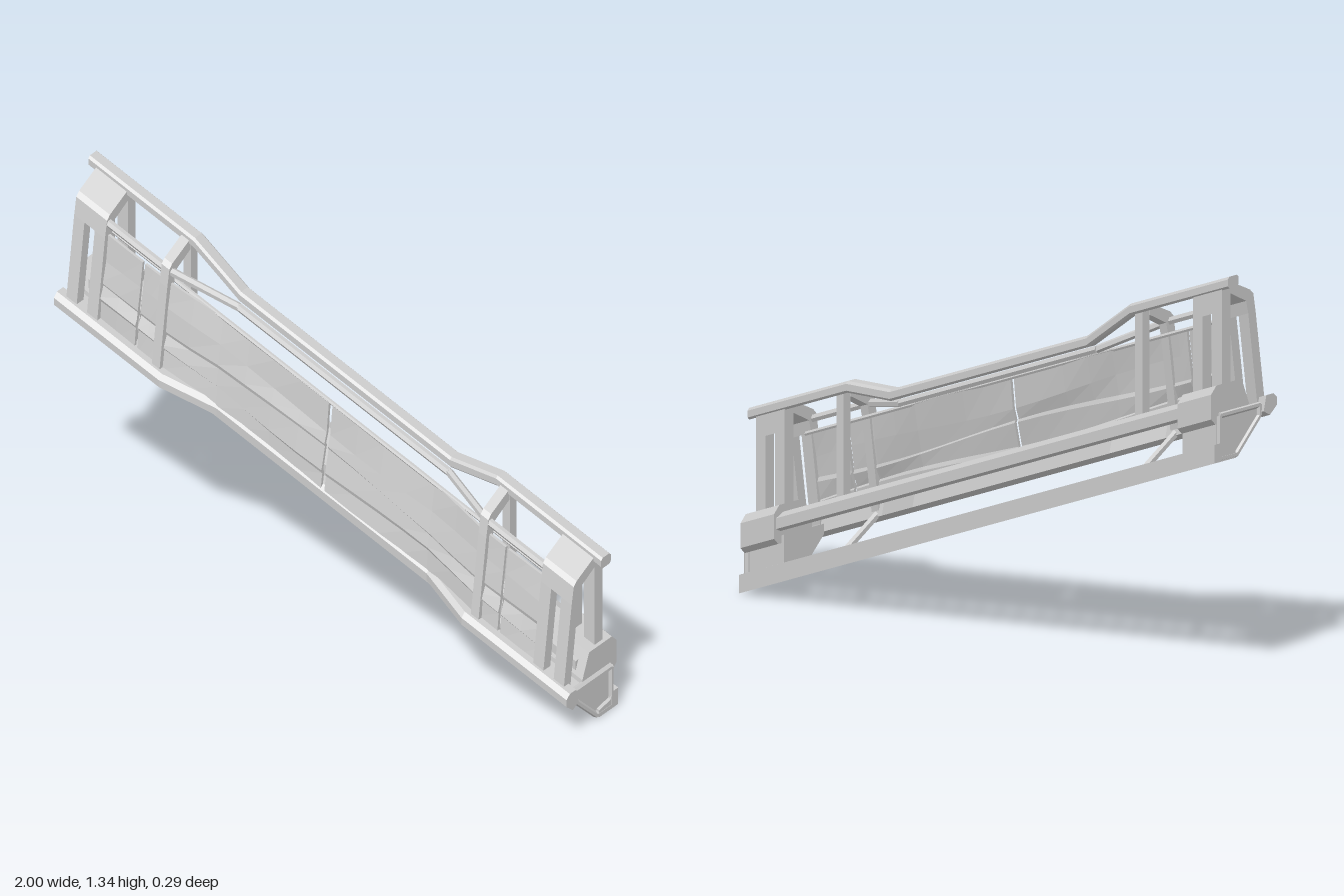
import * as THREE from 'three';

const SLOPE = 0.375; // the railing follows a stair: everything is built level, then sheared

export function createModel() {
  const group = new THREE.Group();
  const material = new THREE.MeshStandardMaterial({ color: 0xcccccc, flatShading: true, side: THREE.DoubleSide });

  const add = (name, geometry) => {
    const p = geometry.attributes.position;
    for (let i = 0; i < p.count; i++) p.setY(i, p.getY(i) - SLOPE * p.getX(i));
    geometry.computeVertexNormals();
    const mesh = new THREE.Mesh(geometry, material);
    mesh.name = name;
    group.add(mesh);
  };

  // Sweep a (z, y) profile along the x stations; warp(x, z, y) bends each section
  const sweep = (name, profile, xs, warp = (x, z, y) => [z, y]) => {
    const ring = profile.map(([z, y]) => new THREE.Vector2(z, y));
    if (THREE.ShapeUtils.isClockWise(ring)) ring.reverse();
    const rings = xs.map(x => ring.map(p => {
      const [z, y] = warp(x, p.x, p.y);
      return [x, y, z];
    }));
    const out = [];
    const tri = (a, b, c) => out.push(...a, ...b, ...c);
    for (let s = 0; s < rings.length - 1; s++) {
      for (let i = 0; i < ring.length; i++) {
        const j = (i + 1) % ring.length, A = rings[s], B = rings[s + 1];
        tri(A[i], B[i], B[j]);
        tri(A[i], B[j], A[j]);
      }
    }
    const first = rings[0], last = rings[rings.length - 1];
    for (const [a, b, c] of THREE.ShapeUtils.triangulateShape(ring, [])) {
      tri(first[a], first[b], first[c]);
      tri(last[a], last[c], last[b]);
    }
    const g = new THREE.BufferGeometry();
    g.setAttribute('position', new THREE.Float32BufferAttribute(out, 3));
    add(name, g);
  };

  const box = (name, x0, x1, y0, y1, z0, z1) =>
    sweep(name, [[z0, y0], [z1, y0], [z1, y1], [z0, y1]], [x0, x1]);

  // Six-sided rod between two points
  const rod = (name, a, b, r) => {
    const A = new THREE.Vector3(...a), B = new THREE.Vector3(...b);
    const d = B.clone().sub(A);
    const g = new THREE.CylinderGeometry(r, r, d.length(), 6).toNonIndexed();
    g.applyQuaternion(new THREE.Quaternion().setFromUnitVectors(new THREE.Vector3(0, 1, 0), d.normalize()));
    g.translate(...A.add(B).multiplyScalar(0.5).toArray());
    add(name, g);
  };

  // 0 in the middle of the railing, 1 towards both ends
  const endBlend = x => THREE.MathUtils.clamp((Math.abs(x) - 0.41) / 0.18, 0, 1);
  const bends = [-1, -0.59, -0.41, 0.41, 0.59, 1];

  // Handrail, raised at the ends
  sweep('handrail', [[-0.088, 0.87], [-0.08, 0.862], [-0.045, 0.862], [-0.037, 0.87], [-0.037, 0.892],
    [-0.045, 0.9], [-0.08, 0.9], [-0.088, 0.892]], bends, (x, z, y) => [z, y + 0.065 * endBlend(x)]);

  // Front rail, bulging forwards at the ends
  sweep('frontRail', [[0.145, 0.535], [0.128, 0.55], [0.095, 0.55], [0.082, 0.5], [0.112, 0.483], [0.145, 0.51]],
    bends, (x, z, y) => [z - 0.06 * (1 - endBlend(x)), y]);

  // Broad deck beam at the back, and the lower channel
  sweep('deckBeam', [[-0.135, 0.55], [-0.115, 0.54], [0.03, 0.54], [0.03, 0.585], [-0.1, 0.6], [-0.135, 0.585]],
    [-0.95, 0.95]);
  sweep('lowerChannel', [[-0.04, 0.375], [-0.14, 0.375], [-0.14, 0.435], [-0.108, 0.435], [-0.1, 0.41], [-0.04, 0.4]],
    [-0.99, 0.99]);

  // Secondary rail, dipping back to the handrail in the middle
  const innerPath = [[-0.86, 0.875, 0.055], [-0.62, 0.875, 0.055], [-0.41, 0.848, -0.035],
    [0.41, 0.848, -0.035], [0.62, 0.875, 0.055], [0.86, 0.875, 0.055]];
  for (let i = 0; i < innerPath.length - 1; i++) rod('innerRail', innerPath[i], innerPath[i + 1], 0.014);

  // Creased sheet panels, leaning back
  const front = [[0.08, 0.53], [0.07, 0.6], [0.075, 0.61], [0.06, 0.67], [0.064, 0.68], [0.05, 0.74], [0.034, 0.835]];
  const sheet = [...front, ...front.map(([z, y]) => [z - 0.01, y]).reverse()];
  for (const [x0, x1] of [[-0.86, -0.715], [-0.705, -0.635], [-0.625, -0.007], [0.007, 0.7], [0.71, 0.86]]) {
    const n = Math.max(2, Math.round((x1 - x0) / 0.1));
    const xs = Array.from({ length: n + 1 }, (_, i) => x0 + (x1 - x0) * i / n);
    sweep('panel', sheet, xs, (x, z, y) => [
      z + 0.025 * endBlend(x) + 0.003 * Math.sin(9 * x + 25 * y),
      y + (y > 0.55 && y < 0.8 ? 0.012 * Math.sin(5 * x + 40 * y) : 0),
    ]);
  }
  rod('panelTopEdge', [-0.86, 0.832, 0.03], [0.86, 0.832, 0.03], 0.008);

  // Bent uprights: lean in from the front rail, then fold back to the handrail
  const leg = [[0.126, 0.5], [0.078, 0.83], [0.043, 0.83], [0.09, 0.5]];
  const knee = [[0.078, 0.83], [0.067, 0.89], [0.052, 0.905], [-0.045, 0.95], [-0.045, 0.912], [0.033, 0.872], [0.043, 0.83]];
  for (const s of [-1, 1]) {
    const span = (a, b) => [s * a, s * b].sort((p, q) => p - q);

    // End frame with a slot between its legs, front and back
    for (const [a, b] of [[0.85, 0.89], [0.93, 0.97]]) {
      sweep('endFrameLeg', leg, span(a, b));
      box('endFrameRearPost', ...span(a, b), 0.56, 0.94, -0.083, -0.042);
    }
    sweep('endFrameHead', knee, span(0.85, 0.97));
    box('endFrameFoot', ...span(0.85, 0.97), 0.5, 0.55, 0.086, 0.124);
    box('endFrameRearHead', ...span(0.85, 0.97), 0.86, 0.94, -0.083, -0.042);

    // Intermediate upright with its rear post and underside strut
    sweep('uprightLeg', leg, span(0.607, 0.637));
    sweep('uprightHead', knee, span(0.607, 0.637));
    box('uprightRearPost', ...span(0.607, 0.637), 0.56, 0.94, -0.08, -0.047);
    rod('lowerStrut', [s * 0.622, 0.51, 0.1], [s * 0.622, 0.405, -0.08], 0.015);

    // Chamfered block on the end of the deck beam
    sweep('beamEndBlock', [[0.04, 0.5], [0.035, 0.54], [0, 0.625], [-0.12, 0.625], [-0.145, 0.6], [-0.145, 0.52],
      [-0.125, 0.5]], span(0.84, 0.98));

    // Sloping bracket down to the lower channel, with a raised rim on its end
    const rim = [[0.08, 0.525], [0.08, 0.49], [-0.03, 0.385], [-0.11, 0.385], [-0.11, 0.525]];
    sweep('endBracket', rim, span(0.83, 0.98));
    for (let i = 0; i < rim.length; i++) {
      const [z0, y0] = rim[i], [z1, y1] = rim[(i + 1) % rim.length];
      rod('bracketRim', [s * 0.982, y0, z0], [s * 0.982, y1, z1], 0.01);
    }
  }
  return group;
}
